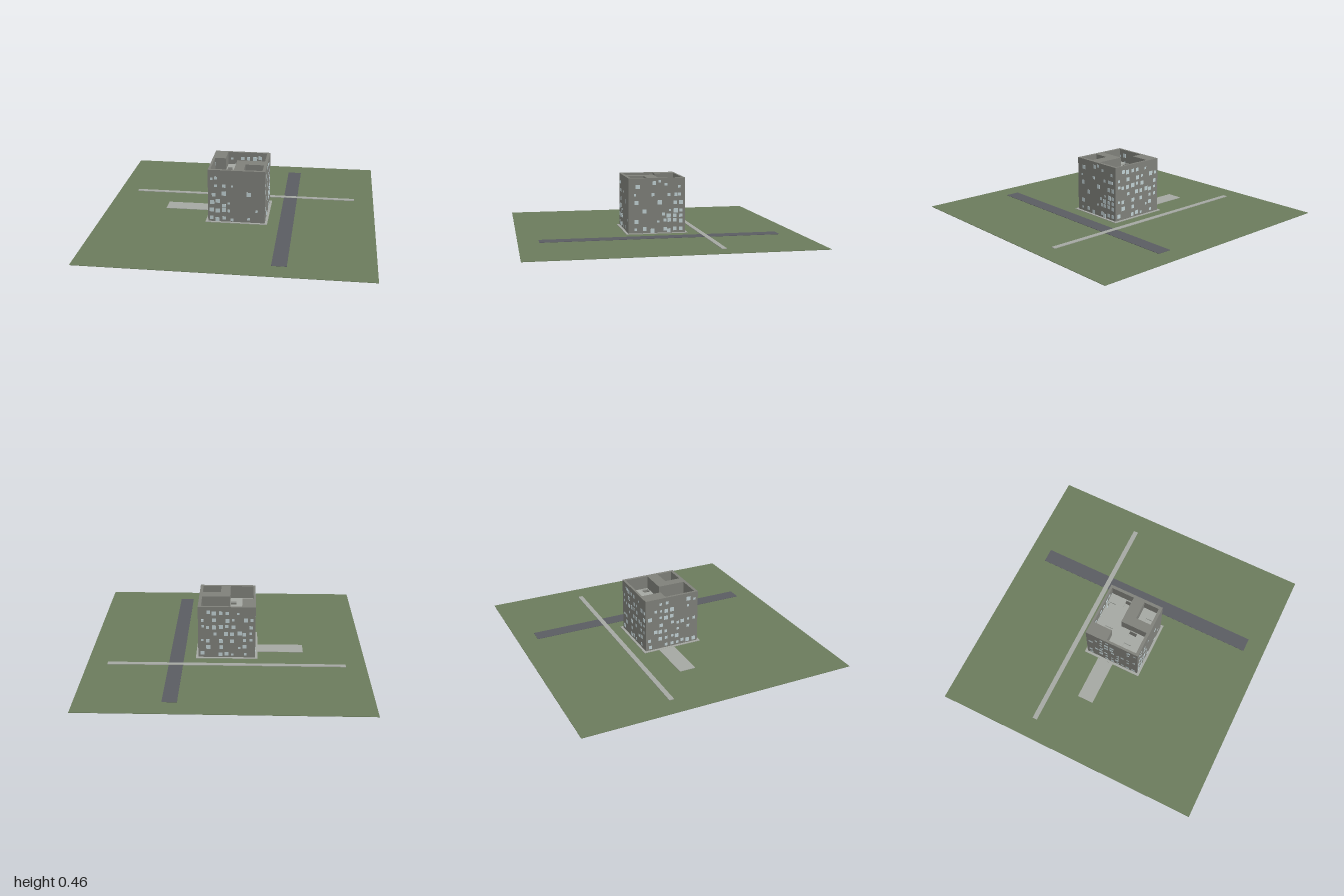
import * as THREE from 'three';

const material = (name, color) => Object.assign(new THREE.MeshStandardMaterial({ color }), { name });
const grass = material('grass green', 0x6b7b5c);
const concrete = material('concrete grey', 0x7f807a);
const paving = material('pale paving', 0xa5a8a2);
const asphalt = material('asphalt', 0x5a5c62);
const glass = material('pale glass', 0xc0d0d3);

const HALF = 0.207, TOP = 0.457, GROUND = 0.055;

// Box given by its x, y and z ranges
function block(name, mat, x0, x1, y0, y1, z0, z1) {
  const mesh = new THREE.Mesh(new THREE.BoxGeometry(x1 - x0, y1 - y0, z1 - z0), mat);
  mesh.position.set((x0 + x1) / 2, (y0 + y1) / 2, (z0 + z1) / 2);
  mesh.name = name;
  return mesh;
}

// Plan outlines are [x, z] points
const rect = (x0, z0, x1, z1) => [[x0, z0], [x1, z0], [x1, z1], [x0, z1]];
const points = (p) => p.map(([x, z]) => new THREE.Vector2(x, z));

// Horizontal slab with openings, its top at the given height
function slab(name, mat, outline, openings, top, depth) {
  const shape = new THREE.Shape(points(outline));
  openings.forEach((o) => shape.holes.push(new THREE.Path(points(o))));
  const geo = new THREE.ExtrudeGeometry(shape, { depth, bevelEnabled: false });
  geo.rotateX(Math.PI / 2);
  const mesh = new THREE.Mesh(geo, mat);
  mesh.position.y = top;
  mesh.name = name;
  return mesh;
}

// Windows per facade: [offset across the face, height, size]
const frontWindows = [
  [-.18, .39, .02], [-.15, .395, .022], [-.15, .337, .02], [-.09, .337, .025], [-.03, .337, .016],
  [-.165, .267, .027], [-.09, .278, .032], [.09, .278, .032], [-.177, .208, .032], [-.135, .22, .03],
  [-.09, .183, .026], [-.055, .202, .016], [-.18, .15, .03], [-.135, .144, .032], [-.09, .15, .03],
  [-.055, .144, .02], [.147, .148, .018], [-.18, .087, .027], [-.14, .075, .03], [-.09, .087, .026],
  [-.032, .075, .022], [.09, .087, .02]];
const sideWindows = [
  [-.14, .395, .03], [-.02, .42, .028], [.02, .433, .02], [.067, .41, .02], [.165, .393, .02],
  [-.16, .337, .016], [-.03, .337, .022], [.087, .337, .022], [.14, .337, .025], [.167, .337, .022],
  [-.15, .28, .03], [.02, .28, .032], [.135, .278, .028], [.177, .278, .03], [-.09, .217, .03],
  [.096, .223, .016], [.14, .22, .032], [.177, .22, .024], [.05, .196, .022], [.087, .183, .03],
  [.133, .183, .026], [.177, .183, .024], [-.15, .142, .03], [.01, .142, .016], [.06, .15, .022],
  [.09, .15, .026], [.133, .15, .026], [.177, .144, .028], [-.155, .087, .016], [-.09, .09, .027],
  [-.033, .075, .03], [.06, .087, .026], [.087, .075, .028], [.133, .087, .027], [.177, .087, .027]];

// Scattered windows on a loose grid of rows and columns
function scatter(seed) {
  const rnd = () => (seed = (seed * 16807) % 2147483647) / 2147483647;
  const list = [];
  for (let row = 0; row < 7; row++) {
    for (let col = 0; col < 9; col++) {
      const keep = rnd() < (row < 4 ? 0.62 : 0.45);
      const u = -.176 + col * .044 + (rnd() - .5) * .012;
      const y = .085 + row * .054 + (rnd() - .5) * .012;
      const size = .017 + rnd() * .015;
      if (keep) list.push([u, y, size]);
    }
  }
  return list;
}

function facade(name, windows, angle) {
  const group = new THREE.Group();
  group.name = name;
  for (const [u, y, s] of windows) {
    // one pane on the outer face and one on the inner face of the wall
    for (const z of [HALF, .188]) {
      group.add(block('window', glass, u - s / 2, u + s / 2, y - s / 2, y + s / 2, z - .001, z + .001));
    }
  }
  group.rotation.y = angle;
  return group;
}

export function createModel() {
  const model = new THREE.Group();

  // Site
  model.add(
    block('lawn', grass, -1, 1, GROUND - .003, GROUND, -1, 1),
    block('road', asphalt, .31, .413, GROUND, GROUND + .002, -.855, .855),
    block('footpath', paving, -.855, .855, GROUND, GROUND + .004, -.335, -.3),
    block('entranceWalk', paving, -.56, -.225, GROUND, GROUND + .003, -.11, .01),
    block('apron', paving, -.225, .225, GROUND, GROUND + .004, -.225, .225));

  // Cube with two open roof courts
  const bigCourt = [[-.11, -.19], [.185, -.19], [.185, -.015], [-.02, -.015],
    [-.02, .185], [-.19, .185], [-.19, -.045], [-.11, -.045]];
  const smallCourt = rect(.05, .07, .185, .185);
  const wall = rect(-HALF, -HALF, HALF, HALF);
  model.add(
    block('basement', concrete, -HALF, HALF, 0, .06, -HALF, HALF),
    slab('cube', concrete, wall, [bigCourt, smallCourt], TOP, TOP - .06));

  // Court floors with light wells and a lower floor under them
  const wells = [rect(.06, -.18, .115, -.125), rect(.12, -.07, .178, -.022), rect(-.105, -.12, -.065, -.06),
    rect(-.185, .06, -.125, .115), rect(-.065, .06, -.025, .115)];
  model.add(
    slab('mainCourtFloor', paving, bigCourt, wells, .36, .012),
    slab('smallCourtFloor', paving, smallCourt, [rect(.06, .12, .115, .178)], .36, .012),
    slab('lowerFloor', paving, rect(-.195, -.195, .195, .195), [], .27, .012));

  // Windows on the four sides
  model.add(
    facade('frontWindows', frontWindows, 0),
    facade('leftWindows', sideWindows, Math.PI / 2),
    facade('backWindows', scatter(41), Math.PI),
    facade('rightWindows', scatter(97), -Math.PI / 2));
  return model;
}
